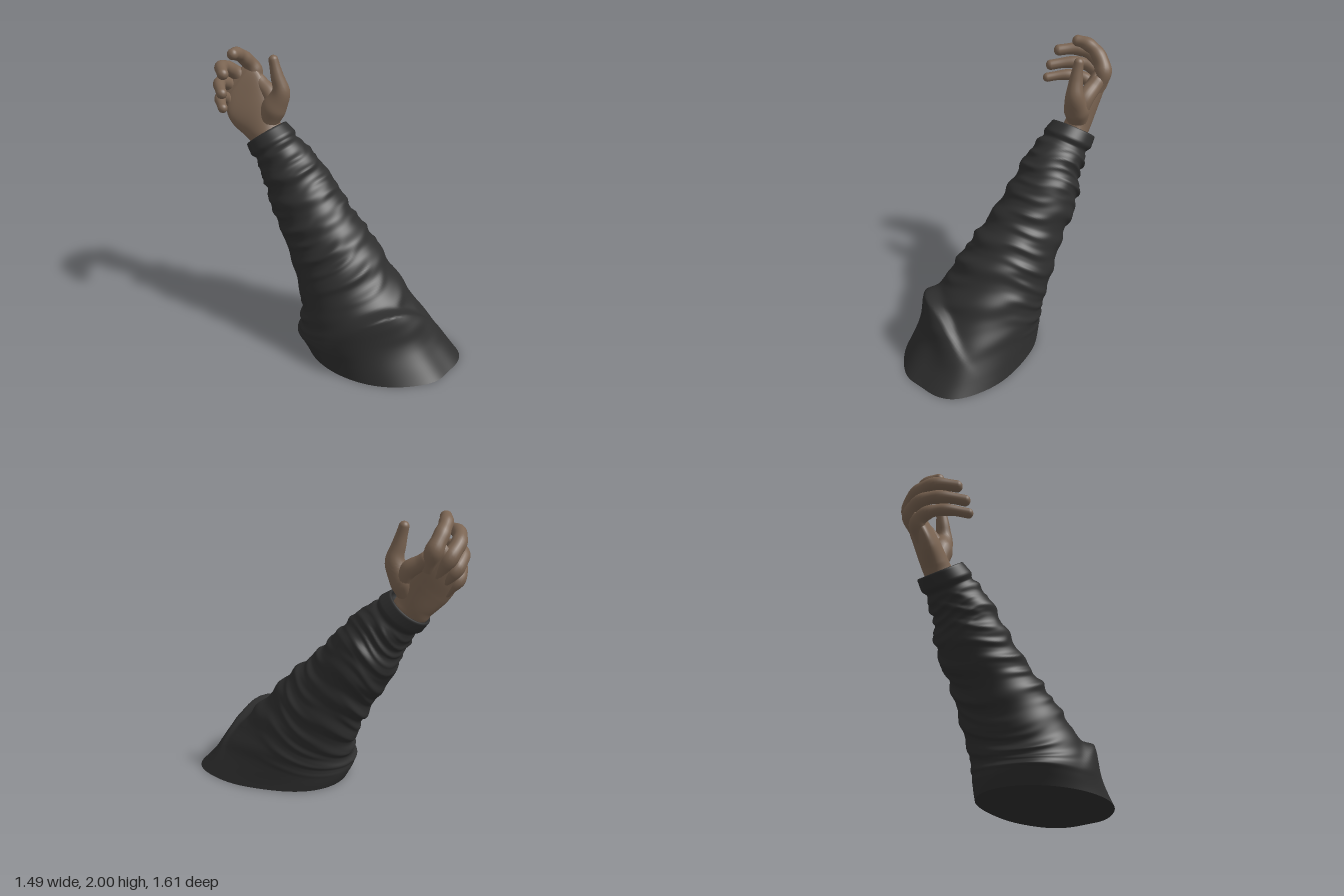
import * as THREE from 'three';

const V = (x, y, z) => new THREE.Vector3(x, y, z);
const smooth = THREE.MathUtils.smoothstep;
const bell = x => Math.exp(-x * x);

// Closed loops of m points, joined in order; fn(i, angle) gives each point.
function loft(rings, m, fn) {
  const pos = [], index = [];
  for (let i = 0; i < rings; i++)
    for (let j = 0; j < m; j++) pos.push(...fn(i, (j / m) * Math.PI * 2).toArray());
  for (let i = 0; i < rings - 1; i++)
    for (let j = 0; j < m; j++) {
      const k = (j + 1) % m, a = i * m + j, b = i * m + k, c = a + m, d = b + m;
      index.push(a, b, c, b, d, c);
    }
  const g = new THREE.BufferGeometry();
  g.setAttribute('position', new THREE.Float32BufferAttribute(pos, 3));
  g.setIndex(index);
  g.computeVertexNormals();
  return g;
}

// Smooth interpolation of evenly spaced values
function sample(values, t) {
  const c = new THREE.CatmullRomCurve3(values.map(v => V(v, 0, 0)));
  return c.getPoint(t).x;
}

// ---- Sleeve: rings around a leaning axis, level at the floor, square at the cuff
const axis = V(-0.4, 0.8, -0.45).normalize();
const upper = V(0, 1, 0).addScaledVector(axis, -axis.y).normalize();
const side = axis.clone().cross(upper);
const sleevePath = [
  [0.235, 0, 0.315, 0.44], [0.125, 0.2, 0.21, 0.402], [0.045, 0.4, 0.1, 0.352],
  [-0.018, 0.6, -0.018, 0.31], [-0.103, 0.8, -0.145, 0.264], [-0.187, 1.0, -0.275, 0.243],
  [-0.275, 1.2, -0.367, 0.196], [-0.385, 1.38, -0.515, 0.146],
];
const sleeveCurve = new THREE.CatmullRomCurve3(sleevePath.map(p => V(p[0], p[1], p[2])));
const foldDir = V(0.06, 0.6, 0.8).normalize();

// Height of the cloth wrinkles
function wrinkle(u, a) {
  const ridge = (s, p) => Math.pow(0.5 + 0.5 * Math.sin(s), p) - 0.4;
  const big = ridge(2 * Math.PI * (8.5 * u + 0.4 * Math.cos(a + 0.9) + 0.12 * Math.sin(2 * a + 3 * u)), 1.6);
  const mid = ridge(2 * Math.PI * (14 * u - 0.7 * Math.sin(a) + 0.2 * Math.sin(3 * a + 9 * u)), 2);
  const fine = ridge(2 * Math.PI * (25 * u + 0.6 * Math.cos(a * 2 + 1)), 2);
  const h = 0.02 * big * (0.65 + 0.35 * Math.sin(2 * a + 5 * u))
    + 0.013 * mid * (0.5 + 0.5 * Math.sin(3 * a + 11 * u))
    + 0.014 * fine * smooth(u, 0.7, 0.85) * (0.5 + 0.5 * Math.cos(a - 2.4));
  return h * smooth(u, 0.04, 0.3) * (1 - smooth(u, 0.89, 0.93));
}

function sleevePoint(u, a, scale = 1) {
  const c = sleeveCurve.getPoint(u);
  const e = upper.clone().multiplyScalar(Math.cos(a)).addScaledVector(side, Math.sin(a));
  const n = V(0, 1, 0).lerp(axis, smooth(u, 0, 0.4)).normalize();
  let r = sample(sleevePath.map(p => p[3]), u) + wrinkle(u, a);
  // Uneven outline near the floor
  const s = a > Math.PI ? a - 2 * Math.PI : a;
  const corners = 0.05 * bell((s - 0.6) / 0.3) - 0.03 * bell((s + 0.7) / 0.4)
    - 0.04 * bell(s / 0.25) - 0.1 * bell((s - 1.75) / 0.6);
  r *= 1 + corners * (1 - smooth(u, 0, 0.32));
  r += 0.03 * bell((s + 2.3) / 0.6) * bell((u - 0.14) / 0.09);
  // Cuff band and the groove under it
  r += 0.016 * smooth(u, 0.935, 0.96) - 0.01 * bell((u - 0.932) / 0.011);
  r *= scale;
  const p = c.clone().addScaledVector(e, r).addScaledVector(axis, -r * e.dot(n) / axis.dot(n));
  // Deep overhanging fold low on the upper side
  const f = Math.max(0, e.dot(foldDir));
  const h = p.y - (0.385 - 0.4 * (1 - f));
  const bump = 0.092 * f ** 3 * bell(h / (h < 0 ? 0.11 : 0.038)) * smooth(u, 0, 0.1);
  return p.addScaledVector(e, bump * scale);
}

function sleeveGeometry() {
  const N = 190;
  // The last rings turn in over the cuff and close behind the wrist
  const rim = [[1, 0.96, 0.006], [1, 0.9, 0.004], [0.99, 0.84, 0], [0.97, 0.7, 0], [0.97, 0, 0]];
  return loft(N + 1 + rim.length, 112, (i, a) => {
    if (i <= N) return sleevePoint(i / N, a);
    const [u, scale, lift] = rim[i - N - 1];
    return sleevePoint(u, a, scale).addScaledVector(axis, lift);
  });
}

// ---- Fingers: round tubes of changing thickness with domed tips
const across = V(0.62, 0.78, -0.05).normalize();
function fingerGeometry(points, radii, joint) {
  const curve = new THREE.CatmullRomCurve3(points.map(p => V(...p)));
  const rTip = radii[radii.length - 1], len = curve.getLength();
  const body = 30, cap = 8, uEnd = 1 - rTip / len;
  return loft(body + cap + 1, 20, (i, a) => {
    const k = Math.max(0, i - body) / cap * Math.PI / 2;
    const u = i <= body ? uEnd * i / body : uEnd + (1 - uEnd) * Math.sin(k);
    const t = curve.getUtoTmapping(u);
    const T = curve.getTangent(t);
    const A = across.clone().addScaledVector(T, -across.dot(T)).normalize();
    const B = T.clone().cross(A);
    // Slight swelling at each joint
    const swell = 1 + joint * Math.cos(t * (points.length - 1) * Math.PI * 2);
    const r = sample(radii, t) * swell * Math.cos(k);
    return curve.getPoint(t).addScaledVector(A, r * Math.cos(a)).addScaledVector(B, r * Math.sin(a));
  });
}

// ---- Palm: oval sections from the wrist to the knuckles
// centre, width direction, half width, half thickness, cupping
const palmRows = [
  { c: [-0.335, 1.27, -0.455], w: [0.8, 0.5, 0.25], h: 0.12, t: 0.095, q: 0 },
  { c: [-0.403, 1.4, -0.545], w: [0.8, 0.5, 0.25], h: 0.131, t: 0.092, q: 0 },
  { c: [-0.457, 1.525, -0.615], w: [0.75, 0.62, 0.13], h: 0.174, t: 0.084, q: 0.02 },
  { c: [-0.498, 1.617, -0.675], w: [0.66, 0.74, 0], h: 0.186, t: 0.07, q: 0.03 },
  { c: [-0.535, 1.7, -0.72], w: [0.62, 0.78, -0.05], h: 0.168, t: 0.055, q: 0.02 },
  { c: [-0.56, 1.745, -0.735], w: [0.62, 0.78, -0.05], h: 0.115, t: 0.03, q: 0.01 },
];
function palmGeometry() {
  const track = key => new THREE.CatmullRomCurve3(palmRows.map(r => V(...r[key])));
  const centre = track('c'), width = track('w');
  const num = (key, t) => sample(palmRows.map(r => r[key]), t);
  const N = 40;
  return loft(N + 2, 40, (i, a) => {
    const t = Math.min(1, i / N), shut = i > N ? 0 : 1;
    const W = width.getPoint(t).normalize();
    const B = centre.getTangent(t).cross(W).normalize();
    const x = Math.cos(a), y = Math.sin(a);
    const p = centre.getPoint(t).addScaledVector(W, x * num('h', t) * shut);
    return p.addScaledVector(B, (y * num('t', t) - x * x * num('q', t)) * shut);
  });
}

export function createModel() {
  const model = new THREE.Group();
  const cloth = new THREE.MeshStandardMaterial({ name: 'charcoal cloth', color: 0x2e2e2e });
  const skin = new THREE.MeshStandardMaterial({ name: 'brown skin', color: 0x7a6452 });
  const add = (parent, name, geometry, material) => {
    const mesh = new THREE.Mesh(geometry, material);
    mesh.name = name;
    parent.add(mesh);
  };

  add(model, 'sleeve', sleeveGeometry(), cloth);
  add(model, 'sleeveBase', loft(2, 112, (i, a) => sleevePoint(0, a, i)), cloth);

  const hand = new THREE.Group();
  hand.name = 'hand';
  model.add(hand);
  add(hand, 'palm', palmGeometry(), skin);

  // Each path runs from inside the palm over the knuckle to the tip
  const fingers = {
    indexFinger: [[[-0.415, 1.66, -0.665], [-0.425, 1.79, -0.718], [-0.49, 1.885, -0.695], [-0.555, 1.94, -0.635], [-0.61, 1.963, -0.535]],
      [0.05, 0.058, 0.05, 0.046, 0.038]],
    middleFinger: [[[-0.46, 1.61, -0.675], [-0.52, 1.74, -0.742], [-0.61, 1.82, -0.705], [-0.67, 1.86, -0.605], [-0.685, 1.855, -0.42]],
      [0.05, 0.057, 0.05, 0.046, 0.037]],
    ringFinger: [[[-0.5, 1.56, -0.67], [-0.57, 1.665, -0.742], [-0.655, 1.73, -0.685], [-0.695, 1.752, -0.57], [-0.705, 1.735, -0.37]],
      [0.047, 0.054, 0.046, 0.042, 0.035]],
    littleFinger: [[[-0.545, 1.495, -0.65], [-0.615, 1.582, -0.7], [-0.672, 1.635, -0.645], [-0.7, 1.655, -0.53], [-0.705, 1.64, -0.35]],
      [0.047, 0.052, 0.043, 0.038, 0.031]],
    thumb: [[[-0.38, 1.43, -0.545], [-0.33, 1.56, -0.52], [-0.28, 1.685, -0.49], [-0.302, 1.8, -0.5], [-0.327, 1.945, -0.525]],
      [0.07, 0.088, 0.064, 0.045, 0.031]],
  };
  for (const [name, [points, radii]] of Object.entries(fingers))
    add(hand, name, fingerGeometry(points, radii, name === 'thumb' ? 0.02 : 0.05), skin);

  // Web of skin between thumb and index finger
  add(hand, 'thumbWeb', fingerGeometry(
    [[-0.32, 1.56, -0.53], [-0.335, 1.64, -0.575], [-0.385, 1.7, -0.645], [-0.425, 1.76, -0.705]],
    [0.07, 0.064, 0.056, 0.05], 0), skin);

  return model;
}
